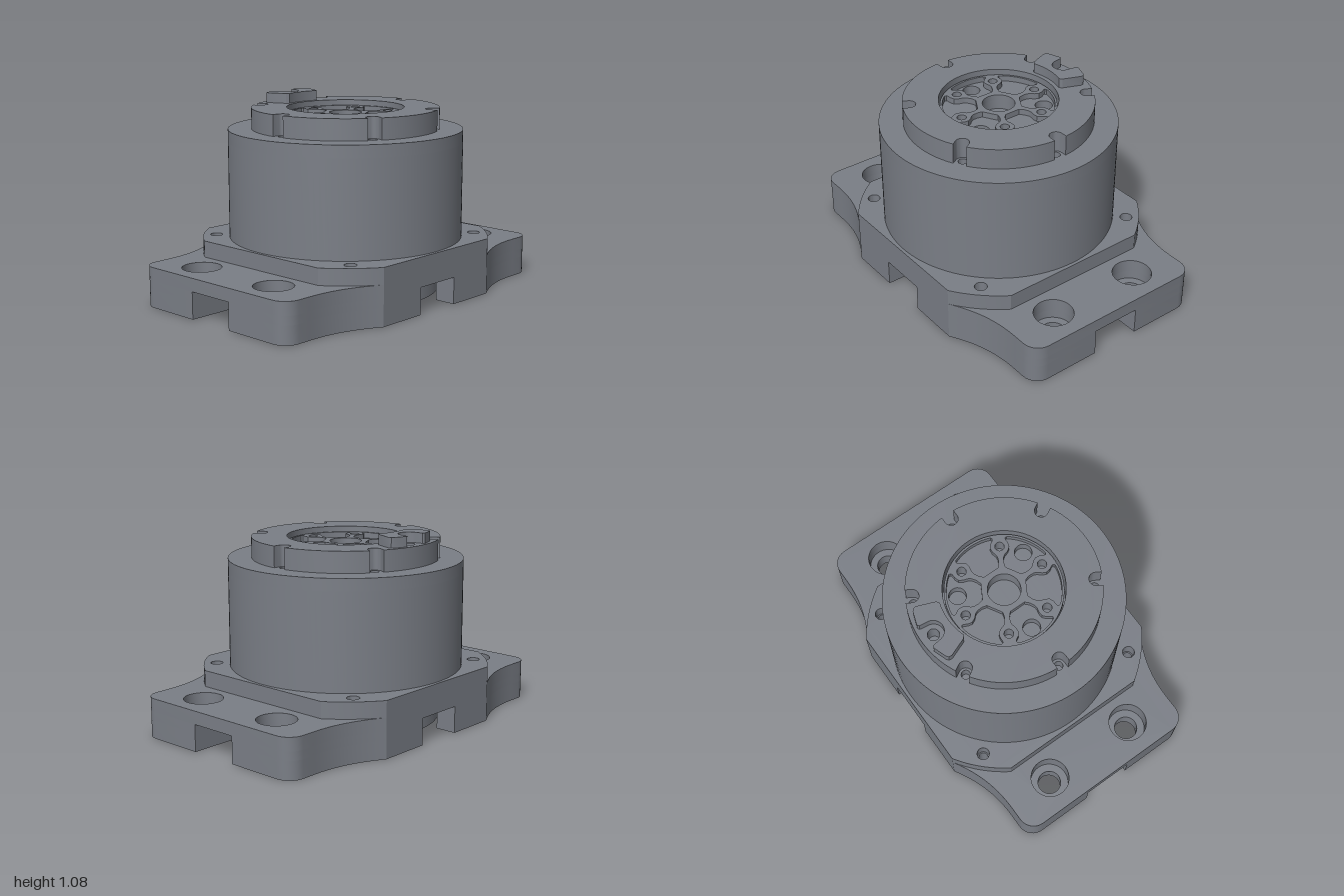
import * as THREE from 'three';
import { toCreasedNormals } from 'three/addons/utils/BufferGeometryUtils.js';

const material = new THREE.MeshStandardMaterial({ color: 0x7a7e86 });
const TAU = Math.PI * 2;
const V = (x, y) => new THREE.Vector2(x, y);
const polar = (r, a) => V(r * Math.cos(a), r * Math.sin(a));
const turn = (pts, a) => pts.map(p => p.clone().rotateAround(V(0, 0), a));

// Points along an arc
function arc(cx, cy, r, a0, a1, n = 16) {
  return Array.from({ length: n + 1 }, (_, i) => {
    const p = polar(r, a0 + (a1 - a0) * i / n);
    return V(cx + p.x, cy + p.y);
  });
}
const circle = (x, y, r, n = 28) => arc(x, y, r, 0, TAU, n).slice(0, -1);

// Plan outline (+ holes) raised from y0 to y1; plan y points to the back (-z)
function slab(name, outline, holes, y0, y1) {
  const shape = new THREE.Shape(outline);
  shape.holes = holes.map(h => new THREE.Path(h));
  let geo = new THREE.ExtrudeGeometry(shape, { depth: y1 - y0, bevelEnabled: false });
  geo.rotateX(-Math.PI / 2).translate(0, y0, 0);
  geo = toCreasedNormals(geo, 0.5);
  const mesh = new THREE.Mesh(geo, material);
  mesh.name = name;
  return mesh;
}

// One quarter of the base edge, from the long side round to the short side
function quarterEdge() {
  const flare = new THREE.CubicBezierCurve(V(0.43, 0.663), V(0.56, 0.585), V(0.68, 0.545), V(0.84, 0.545));
  return [...flare.getPoints(14), ...arc(0.91, 0.455, 0.09, Math.PI / 2, 0, 8)];
}
const quadrants = [[1, 1], [-1, 1], [-1, -1], [1, -1]];
const flip = (pts, [sx, sy]) => pts.map(p => V(p.x * sx, p.y * sy));

export function createModel() {
  const model = new THREE.Group();
  const add = (...args) => model.add(slab(...args));

  // Base plate with counterbored mounting holes
  const baseOutline = quadrants.flatMap(q => {
    const pts = flip(quarterEdge(), q);
    return q[0] * q[1] > 0 ? pts.reverse() : pts;
  });
  const cornerHole = ([sx, sy], r) => circle(sx * 0.508, sy * 0.508, r);
  const mountHole = ([sx, sy], r) => circle(sx * 0.818, sy * 0.273, r, 36);
  add('basePlate', baseOutline,
    quadrants.flatMap(q => [mountHole(q, 0.106), cornerHole(q, 0.027)]), 0.148, 0.22);

  // Four feet, separated by cross slots and a round pocket
  const pocketR = 0.56, slot = 0.138, slotAngle = Math.asin(slot / pocketR);
  const footOutline = [
    V(slot, 0.663), ...quarterEdge(), V(1, slot),
    ...arc(0, 0, pocketR, slotAngle, Math.PI / 2 - slotAngle, 20),
  ];
  quadrants.forEach(q => {
    const outline = flip(footOutline, q);
    add('footUpper', outline, [mountHole(q, 0.106), cornerHole(q, 0.027)], 0.1, 0.148);
    add('foot', outline, [mountHole(q, 0.064), cornerHole(q, 0.027)], 0, 0.1);
  });

  // Round bottom cover, and a square flange with rounded corners
  add('bottomCover', circle(0, 0, 0.52, 96), [], 0.016, 0.16);
  const flangeR = Math.hypot(0.663, 0.43), flangeA = Math.atan2(0.43, 0.663);
  const flangeCorner = arc(0, 0, flangeR, flangeA, Math.PI / 2 - flangeA, 12);
  add('flange', [0, 1, 2, 3].flatMap(i => turn(flangeCorner, i * TAU / 4)),
    quadrants.map(q => cornerHole(q, 0.034)), 0.22, 0.31);

  // Drum body, with screw holes in its top
  const sixths = Array.from({ length: 6 }, (_, i) => i * TAU / 6);
  add('drum', circle(0, 0, 0.645, 128), [], 0.31, 0.84);
  add('drumTop', circle(0, 0, 0.645, 128),
    sixths.map(a => turn(circle(0.48, 0, 0.024), a)), 0.84, 0.907);

  // Top ring with six rounded notches
  const ringR = 0.516, notch = 0.037, notchAngle = Math.asin(notch / ringR);
  const ringOutline = sixths.flatMap(a => turn([
    ...arc(0.48, 0, notch, -Math.PI / 2, -Math.PI * 1.5, 14),
    ...arc(0, 0, ringR, notchAngle, TAU / 6 - notchAngle, 20),
  ], a));
  add('topRing', ringOutline, [circle(0, 0, 0.322, 96), circle(0, 0.445, 0.032)], 0.907, 1.022);

  // Output disc: six pockets between spokes, hub bore and screw holes
  const halfPocket = [[0.118, 0.045], [0.138, 0.064], [0.163, 0.077], [0.182, 0.079], [0.208, 0.073],
    [0.232, 0.075], [0.25, 0.09], [0.262, 0.11], [0.27, 0.116], [0.28, 0.112]].map(p => V(...p));
  const pocket = [
    ...halfPocket,
    ...arc(0, 0, 0.302, 0.33, -0.33, 14),
    ...flip(halfPocket, [1, -1]).reverse(),
  ];
  const discScrews = sixths.map(a => turn(circle(0.245, 0, 0.025), a + TAU / 12));
  const dowels = [1, 3, 5].map(i => turn(circle(0.245, 0, 0.047), sixths[i]));
  const hub = circle(0, 0, 0.088, 40);
  const disc = circle(0, 0, 0.314, 96);
  add('outputDisc', disc, [hub, ...sixths.map(a => turn(pocket, a)), ...discScrews], 0.96, 0.992);
  add('outputDiscFloor', disc, [hub, ...dowels, ...discScrews], 0.907, 0.96);

  // Locating key with a U-shaped screw slot
  const halfKey = [[0.108, 0.329], [0.123, 0.341], [0.162, 0.44], [0.16, 0.458], [0.148, 0.468],
    [0.075, 0.493], [0.064, 0.485]].map(p => V(...p));
  add('locatingKey', [
    ...arc(0, 0, 0.346, 1.85, 1.29, 10),
    ...halfKey,
    ...arc(0, 0.445, 0.058, 0, -Math.PI, 18),
    ...flip(halfKey, [-1, 1]).reverse(),
  ], [], 1.02, 1.077);

  return model;
}
